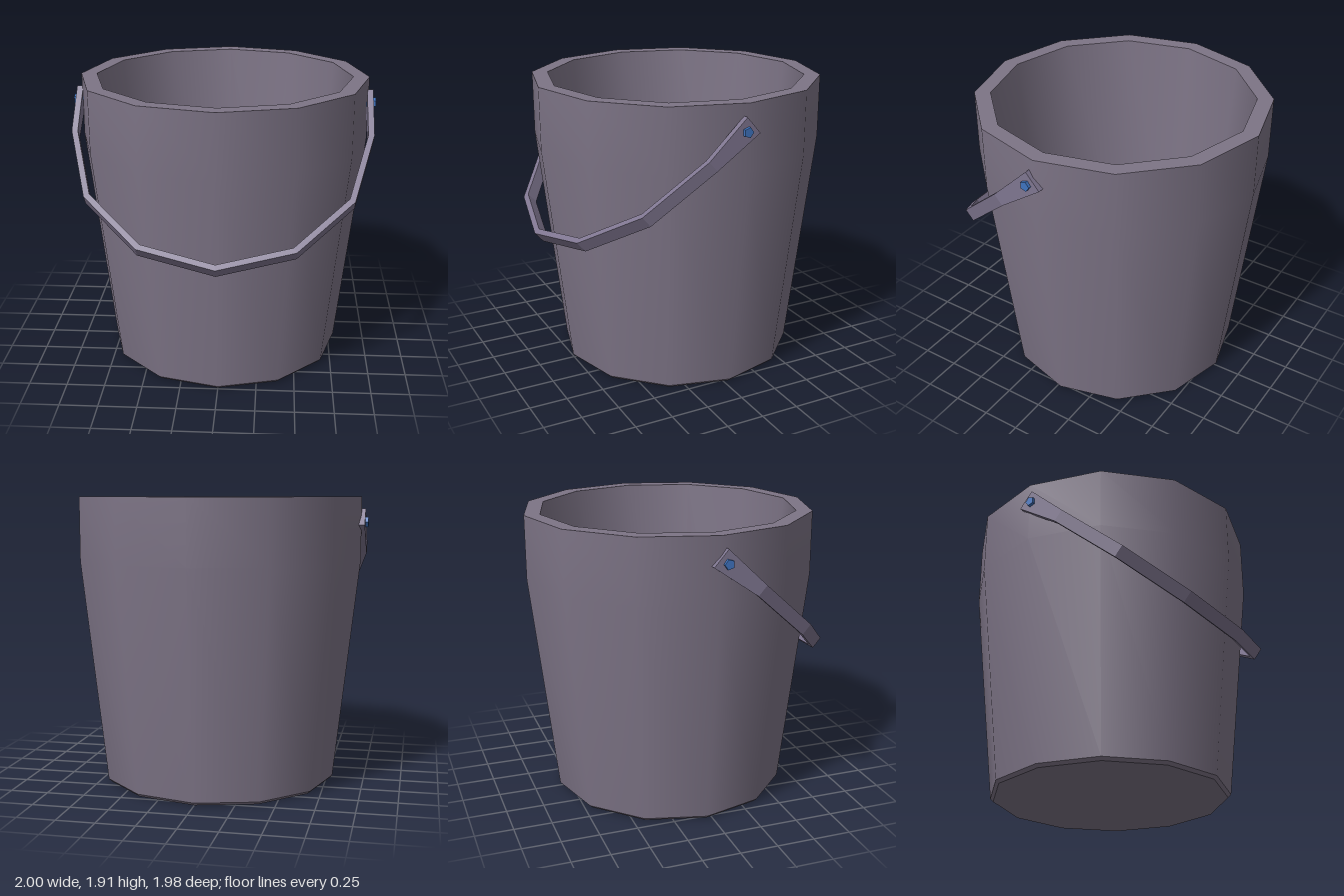
import * as THREE from 'three';
import { toCreasedNormals } from 'three/addons/utils/BufferGeometryUtils.js';

const SIDES = 12;

// Bent flat strip: half a 12-sided ring with a wider straight tab at each end
function handleGeometry() {
  const pos = [], index = [];
  // s runs down the slope, h across it; returns the point in model space
  const add = (x, s, h) => pos.push(x, -0.655 * s + 0.755 * h, 0.755 * s + 0.655 * h);
  const centre = -0.86, outer = 0.98, inner = 0.94;
  for (let i = -1; i <= 7; i++) {
    const tab = i < 0 || i > 6;
    const t = THREE.MathUtils.clamp(i, 0, 6) * Math.PI / 6;
    const top = tab ? 1.389 : 1.373, low = tab ? 1.251 : 1.289;
    for (const [r, h] of [[outer, top], [outer, low], [inner, low], [inner, top]]) {
      add(r * Math.cos(t), tab ? -1.205 : centre + r * Math.sin(t), h);
    }
  }
  for (let i = 0; i < 8; i++) {
    for (let k = 0; k < 4; k++) {
      const a = i * 4 + k, d = i * 4 + (k + 1) % 4;
      index.push(a, a + 4, d + 4, a, d + 4, d);
    }
  }
  index.push(0, 1, 2, 0, 2, 3, 32, 34, 33, 32, 35, 34);
  const g = new THREE.BufferGeometry();
  g.setAttribute('position', new THREE.Float32BufferAttribute(pos, 3));
  g.setIndex(index);
  const flat = g.toNonIndexed();
  flat.computeVertexNormals();
  return flat;
}

export function createModel() {
  const group = new THREE.Group();
  const bodyMat = new THREE.MeshStandardMaterial({ color: 0x7d7486 });
  const handleMat = new THREE.MeshStandardMaterial({ color: 0x7f7690, side: THREE.DoubleSide });
  const pinMat = new THREE.MeshStandardMaterial({ color: 0x3f74c0, flatShading: true });

  // Bucket: tapered wall, straight upper band, thick rim and inner floor
  const profile = [
    [0, 0], [0.77, 0], [0.79, 0.02], [0.955, 1.5], [0.955, 1.915],
    [0.85, 1.915], [0.72, 0.1], [0, 0.1],
  ].map(([r, y]) => new THREE.Vector2(r, y));
  const bucket = new THREE.Mesh(
    toCreasedNormals(new THREE.LatheGeometry(profile, SIDES), 0.6), bodyMat);
  bucket.name = 'bucket';
  bucket.position.z = -0.035;
  group.add(bucket);

  // Carrying handle, resting forward
  const handle = new THREE.Mesh(handleGeometry(), handleMat);
  handle.name = 'handle';
  group.add(handle);

  // Five-sided pivot pins
  for (const side of [1, -1]) {
    const geo = new THREE.CylinderGeometry(0.033, 0.033, 0.1, 5);
    geo.rotateY(Math.PI).rotateZ(Math.PI / 2);
    const pin = new THREE.Mesh(geo, pinMat);
    pin.name = side > 0 ? 'leftPin' : 'rightPin';
    pin.position.set(side * 0.95, 1.75, 0);
    group.add(pin);
  }
  return group;
}
